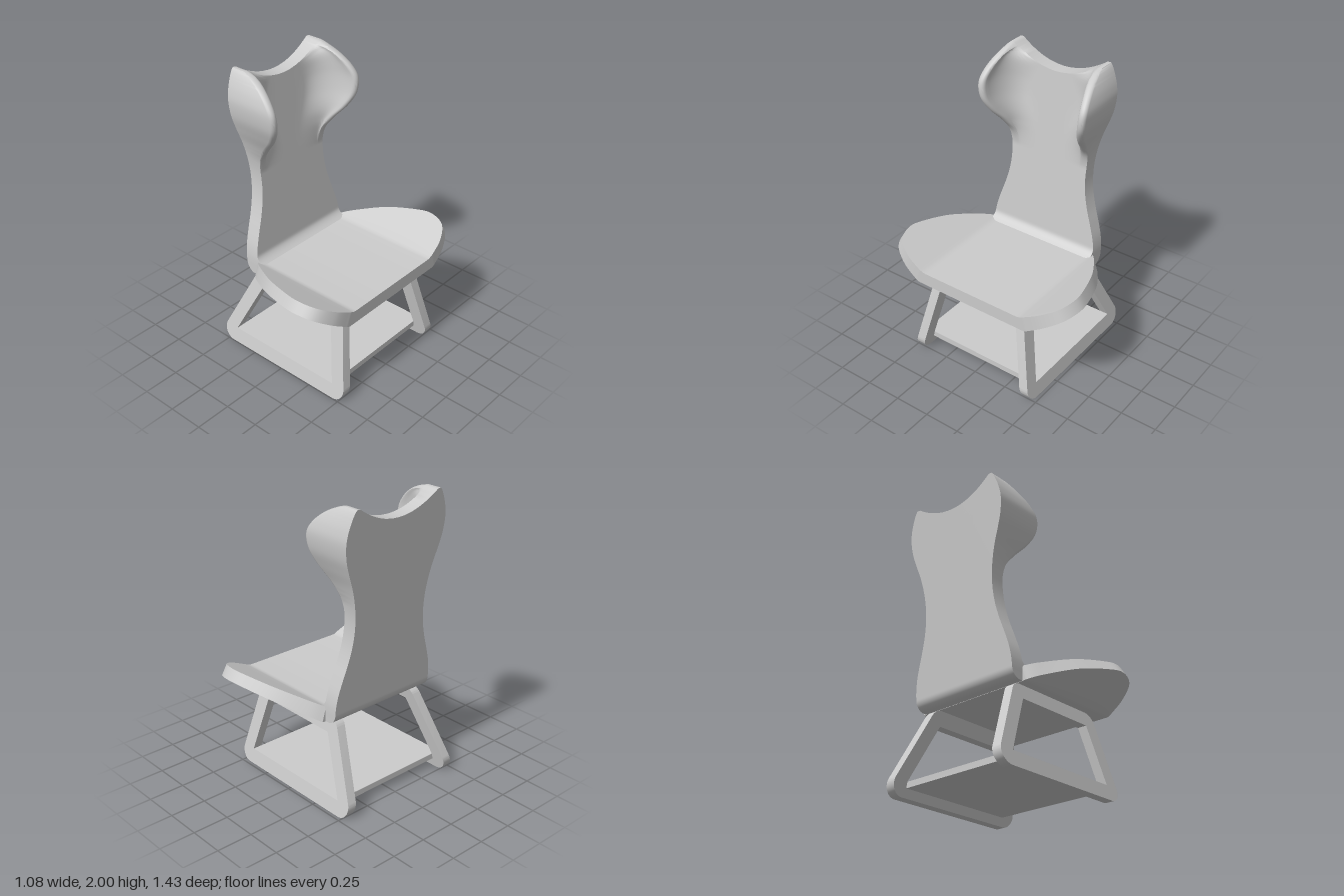
import * as THREE from 'three';
import { toCreasedNormals } from 'three/addons/utils/BufferGeometryUtils.js';

const material = new THREE.MeshStandardMaterial({ color: 0xcccccc });

// Closed slab between two matching grids of points, a (outer side) and b (inner side)
function slab(a, b) {
  const pos = [];
  const quad = (p, q, r, s) => pos.push(...p, ...q, ...r, ...p, ...r, ...s);
  const R = a.length - 1, N = a[0].length - 1;
  for (let i = 0; i < R; i++) {
    for (let j = 0; j < N; j++) {
      quad(a[i][j], a[i][j + 1], a[i + 1][j + 1], a[i + 1][j]);
      quad(b[i][j], b[i + 1][j], b[i + 1][j + 1], b[i][j + 1]);
    }
    quad(a[i][0], a[i + 1][0], b[i + 1][0], b[i][0]);
    quad(a[i + 1][N], a[i][N], b[i][N], b[i + 1][N]);
  }
  for (let j = 0; j < N; j++) {
    quad(a[0][j + 1], a[0][j], b[0][j], b[0][j + 1]);
    quad(a[R][j], a[R][j + 1], b[R][j + 1], b[R][j]);
  }
  const g = new THREE.BufferGeometry();
  g.setAttribute('position', new THREE.Float32BufferAttribute(pos, 3));
  return toCreasedNormals(g, 0.6);
}

// Completes a row of points given for z >= 0 with its mirror image
const mirrorRow = half => [...half.slice().reverse().map(([x, y, z]) => [x, y, -z]), ...half];

// Seat: flat centre with side flaps that fold upward, u = how far the flap reaches
function seatGeometry() {
  const outline = new THREE.SplineCurve([
    [-0.28, 0], [-0.2, 0.23], [0, 0.66], [0.2, 0.92], [0.33, 1],
    [0.45, 0.85], [0.515, 0.47], [0.535, 0.05],
  ].map(p => new THREE.Vector2(...p)));
  const top = [], bottom = [];
  for (const { x, y: u } of outline.getPoints(56)) {
    top.push(mirrorRow([
      [x, 0.68, 0.1], [x, 0.68, 0.365], [x, 0.682, 0.385], [x, 0.69, 0.405],
      [x, 0.69 + 0.04 * u, 0.405 + 0.08 * u], [x, 0.69 + 0.13 * u, 0.405 + 0.265 * u],
    ]));
    bottom.push(mirrorRow([
      [x, 0.59, 0.1], [x, 0.59, 0.4], [x, 0.59, 0.42], [x, 0.592, 0.435],
      [x, 0.592 + 0.05 * u, 0.435 + 0.083 * u], [x, 0.592 + 0.163 * u, 0.435 + 0.277 * u],
    ]));
  }
  return slab(top, bottom);
}

// Backrest: leaning board with a waist, growing into forward-curling head wings
function backrestGeometry() {
  // height, half width, forward reach of the wing
  const profile = new THREE.CatmullRomCurve3([
    [0.592, 0.41, 0], [0.63, 0.41, 0], [0.68, 0.41, 0], [0.73, 0.407, 0], [0.8, 0.395, 0],
    [0.9, 0.365, 0], [1, 0.332, 0], [1.1, 0.307, 0], [1.2, 0.295, 0], [1.3, 0.296, 0],
    [1.4, 0.31, 0.03], [1.5, 0.335, 0.11], [1.6, 0.37, 0.205], [1.7, 0.4, 0.265],
    [1.8, 0.41, 0.273], [1.87, 0.4, 0.234], [1.94, 0.377, 0.155], [1.985, 0.355, 0.065],
    [2, 0.343, 0.01],
  ].map(p => new THREE.Vector3(...p)));
  const backX = y => {
    const round = Math.max(0, 0.66 - y) / 0.07;
    return -0.37 - 0.088 * (y - 0.63) + 0.065 * (1 - Math.sqrt(Math.max(0, 1 - round * round)));
  };
  const frontX = y => {
    const fillet = Math.min(1, Math.max(0, 0.74 - y) / 0.06);
    return -0.28 - 0.0913 * (y - 0.73) + 0.045 * fillet * fillet;
  };
  const back = [], front = [];
  for (const { x: Y, y: w, z: reach } of profile.getPoints(108)) {
    const d = Math.max(0, reach), tip = 0.055, capR = 0.028 * Math.min(1, d / 0.1);
    const rz = 0.19, zIn = w - tip;
    // pairs of z and forward offset across half of the front face
    const pts = [[0, 0], [(zIn - rz) / 2, 0]];
    for (let k = 0; k <= 14; k++) {
      const t = (k / 14) * Math.PI / 2;
      pts.push([zIn - rz + rz * Math.sin(t), (d - capR) * (1 - Math.cos(t))]);
    }
    for (let k = 1; k <= 8; k++) {
      const t = (k / 8) * Math.PI;
      pts.push([w - tip / 2 - tip / 2 * Math.cos(t), d - capR + capR * Math.sin(t)]);
    }
    const rise = Math.max(0, (Y - 1.4) / 0.6) ** 2;
    // the top edge dips toward the middle
    const dip = z => Y - 0.115 * Math.max(0, 1 - (z / 0.32) ** 2) * rise;
    const f = pts.map(([z, o]) => [frontX(dip(z)) + o, dip(z), z]);
    const b = pts.map(([z]) => [backX(dip(z)), dip(z), z]);
    front.push(mirrorRow(f));
    back.push(mirrorRow(b));
  }
  return slab(back, front);
}

// Leg frame: rounded trapezoid ring, leaning inward toward the seat
function legFrameGeometry(side) {
  const r = 0.08, deg = Math.PI / 180, depth = 0.065;
  const shape = new THREE.Shape();
  for (const [x, y, from, to] of [
    [-0.464, 0.08, 154.6, 270], [0.45, 0.08, 270, 371.3],
    [0.365, 0.508, 11.3, 90], [-0.262, 0.508, 90, 154.6],
  ]) shape.absarc(x, y, r, from * deg, to * deg, false);
  shape.holes.push(new THREE.Path([
    [-0.44, 0.1], [-0.255, 0.49], [0.35, 0.49], [0.43, 0.1],
  ].map(p => new THREE.Vector2(...p))));
  const g = new THREE.ExtrudeGeometry(shape, { depth, bevelEnabled: false, curveSegments: 10 });
  const p = g.attributes.position;
  for (let i = 0; i < p.count; i++) {
    p.setZ(i, p.getZ(i) - depth / 2 + side * (0.4525 - 0.21 * p.getY(i)) + 0.01);
  }
  return toCreasedNormals(g, 0.6);
}

export function createModel() {
  const chair = new THREE.Group();
  chair.name = 'wingChair';
  const add = (name, geometry) => {
    const mesh = new THREE.Mesh(geometry, material);
    mesh.name = name;
    chair.add(mesh);
    return mesh;
  };
  add('seat', seatGeometry());
  add('backrest', backrestGeometry());
  add('legFrameLeft', legFrameGeometry(1));
  add('legFrameRight', legFrameGeometry(-1));
  // Low shelf joining the two frames
  add('shelf', new THREE.BoxGeometry(0.87, 0.04, 0.83)).position.set(-0.005, 0.08, 0.01);
  return chair;
}
